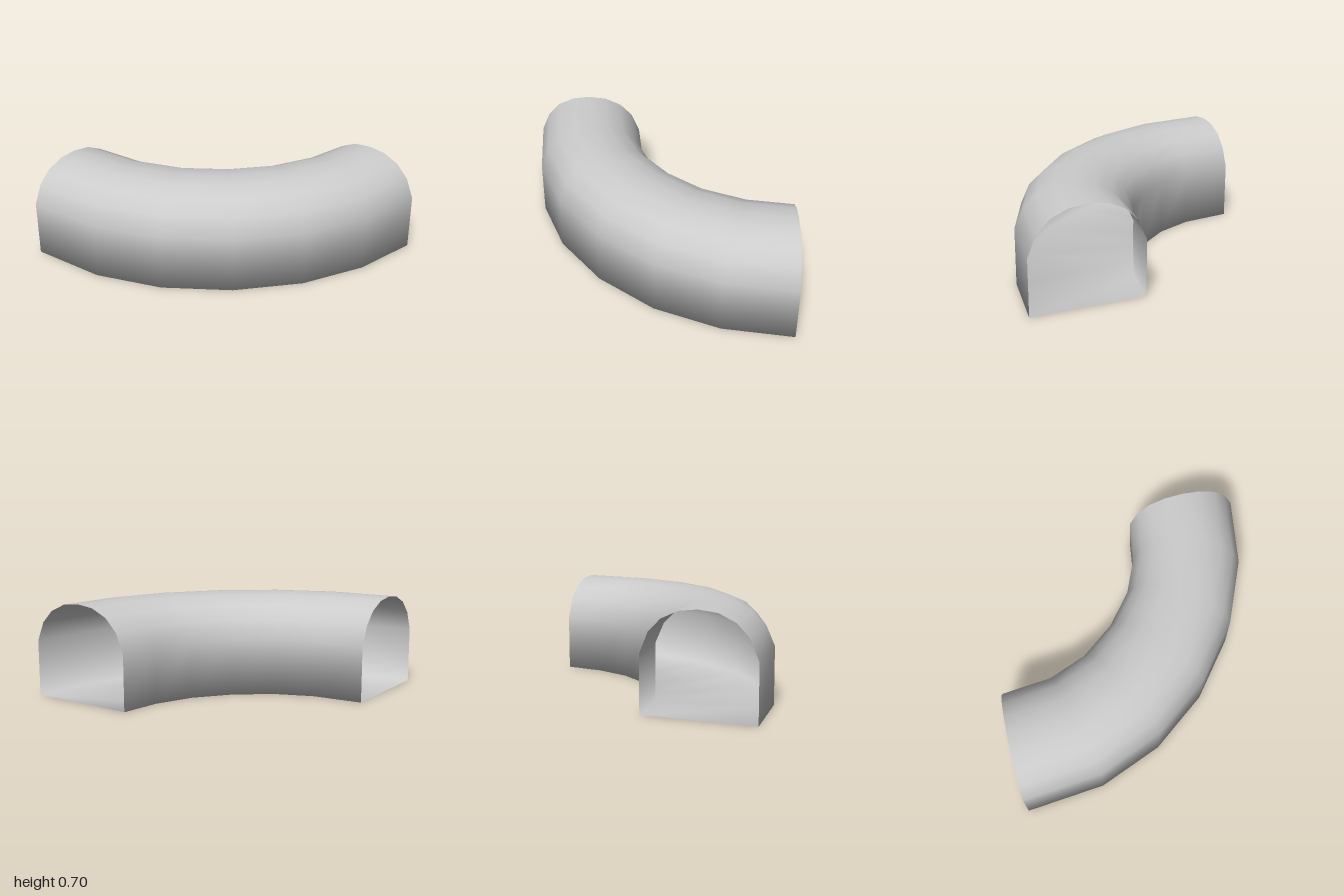
import * as THREE from 'three';

export function createModel() {
  const group = new THREE.Group();

  // Plan of the bend: [x, z] of the inner and outer wall at each station
  const inner = [[-0.17, -1], [-0.13, -0.64], [-0.02, -0.37], [0.17, -0.13], [0.4, 0.05], [0.67, 0.16], [0.96, 0.2]];
  const outer = [[-0.96, -1], [-0.9, -0.43], [-0.71, 0.03], [-0.4, 0.43], [0, 0.74], [0.46, 0.93], [0.96, 1]];

  // Half of the arched cross-section: [offset from centre as part of the width, y]
  const half = [[0.5, 0], [0.5, 0.4], [0.425, 0.54], [0.315, 0.63], [0.165, 0.685]];
  const profile = [
    ...half.map(([s, y]) => [0.5 - s, y]),
    [0.5, 0.7],
    ...half.map(([s, y]) => [0.5 + s, y]).reverse(),
  ];

  // One closed ring per station, running from the inner wall over to the outer wall
  const positions = [];
  inner.forEach(([ix, iz], i) => {
    const [ox, oz] = outer[i];
    for (const [s, y] of profile) {
      positions.push(ix + (ox - ix) * s, y, iz + (oz - iz) * s);
    }
  });

  // Join the rings; the last side of each ring is the floor, both ends stay open
  const n = profile.length;
  const index = [];
  for (let i = 0; i < inner.length - 1; i++) {
    for (let j = 0; j < n; j++) {
      const a = i * n + j;
      const b = i * n + (j + 1) % n;
      index.push(a, b, a + n, b, b + n, a + n);
    }
  }

  const geometry = new THREE.BufferGeometry();
  geometry.setAttribute('position', new THREE.Float32BufferAttribute(positions, 3));
  geometry.setIndex(index);
  geometry.computeVertexNormals();

  const tunnel = new THREE.Mesh(
    geometry,
    new THREE.MeshStandardMaterial({ color: 0xcccccc, side: THREE.DoubleSide })
  );
  tunnel.name = 'curvedTunnel';
  group.add(tunnel);
  return group;
}
